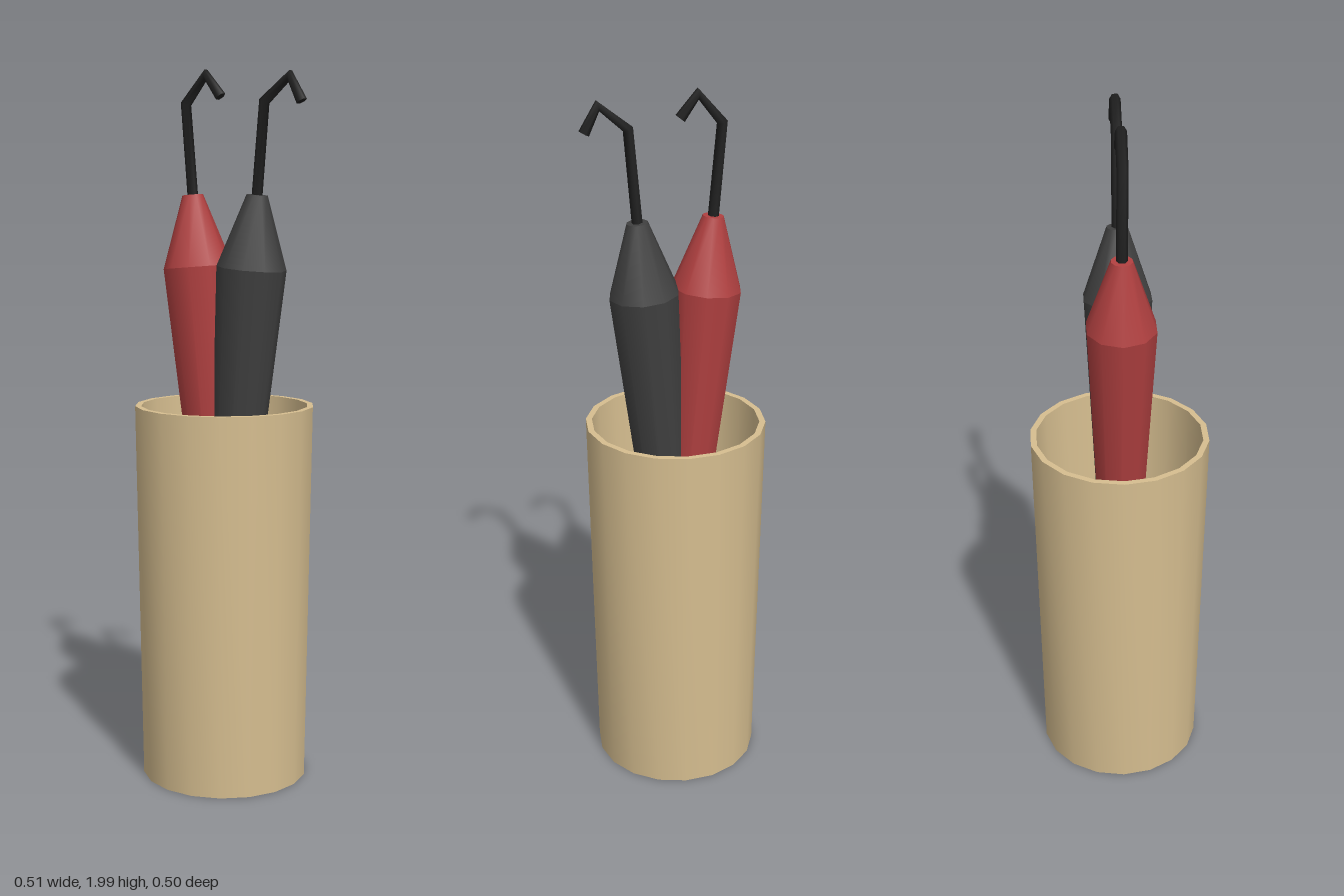
import * as THREE from 'three';
import { toCreasedNormals } from 'three/addons/utils/BufferGeometryUtils.js';

const material = (color) => new THREE.MeshStandardMaterial({ color });
const V = (x, y) => new THREE.Vector3(x, y, 0);

// Angular path: sections sit exactly on the corner points
class CornerPath extends THREE.Curve {
  constructor(points) {
    super();
    this.points = points;
  }
  index(u) {
    return Math.round(u * (this.points.length - 1));
  }
  getPointAt(u, target = new THREE.Vector3()) {
    return target.copy(this.points[this.index(u)]);
  }
  getTangentAt(u, target = new THREE.Vector3()) {
    const i = this.index(u), p = this.points, last = p.length - 1;
    target.set(0, 0, 0);
    if (i > 0) target.add(p[i].clone().sub(p[i - 1]).normalize());
    if (i < last) target.add(p[i + 1].clone().sub(p[i]).normalize());
    return target.normalize();
  }
}

function addMesh(parent, name, geometry, mat) {
  const mesh = new THREE.Mesh(geometry, mat);
  mesh.name = name;
  parent.add(mesh);
  return mesh;
}

// Folded umbrella, built upright from its tip
function umbrella(name, color, x, lean) {
  const group = new THREE.Group();
  group.name = name;
  const cloth = material(color), dark = material(0x202020);
  const sides = 10, wide = 1.42, top = 1.62;

  // Canopy: long taper up to the widest ring, then a short shoulder
  const lower = new THREE.CylinderGeometry(0.097, 0.027, wide, sides, 1, false, Math.PI / 2);
  lower.translate(0, wide / 2, 0);
  addMesh(group, 'canopy', lower, cloth);
  const upper = new THREE.CylinderGeometry(0.029, 0.097, top - wide, sides, 1, false, Math.PI / 2);
  upper.translate(0, (top + wide) / 2, 0);
  addMesh(group, 'canopyShoulder', upper, cloth);

  // Shaft and bent hook, closed at the end
  const pts = [V(0, top - 0.05), V(0, 1.87), V(0.073, 1.942), V(0.116, 1.877)];
  addMesh(group, 'hookHandle', new THREE.TubeGeometry(new CornerPath(pts), 3, 0.015, 6), dark);
  const cap = new THREE.CircleGeometry(0.015, 6);
  cap.rotateY(Math.PI / 2);
  cap.rotateZ(Math.atan2(pts[3].y - pts[2].y, pts[3].x - pts[2].x));
  cap.translate(pts[3].x, pts[3].y, 0);
  addMesh(group, 'hookEnd', cap, dark);

  group.position.set(x, 0.04, 0);
  group.rotation.z = lean;
  return group;
}

export function createModel() {
  const model = new THREE.Group();
  model.name = 'umbrellaStand';

  // Hollow tapered stand: underside, outer wall, rim, inner wall, floor
  const profile = [[0, 0], [0.235, 0], [0.252, 1.07], [0.235, 1.07], [0.214, 0.03], [0, 0.03]]
    .map(([r, y]) => new THREE.Vector2(r, y));
  const stand = toCreasedNormals(new THREE.LatheGeometry(profile, 18, Math.PI / 2), 0.6);
  addMesh(model, 'stand', stand, material(0xd6be90)).position.x = -0.005;

  // Two umbrellas leaning apart
  model.add(umbrella('blackUmbrella', 0x404040, -0.04, -0.087));
  model.add(umbrella('redUmbrella', 0xb04040, 0.03, 0.087));
  return model;
}
